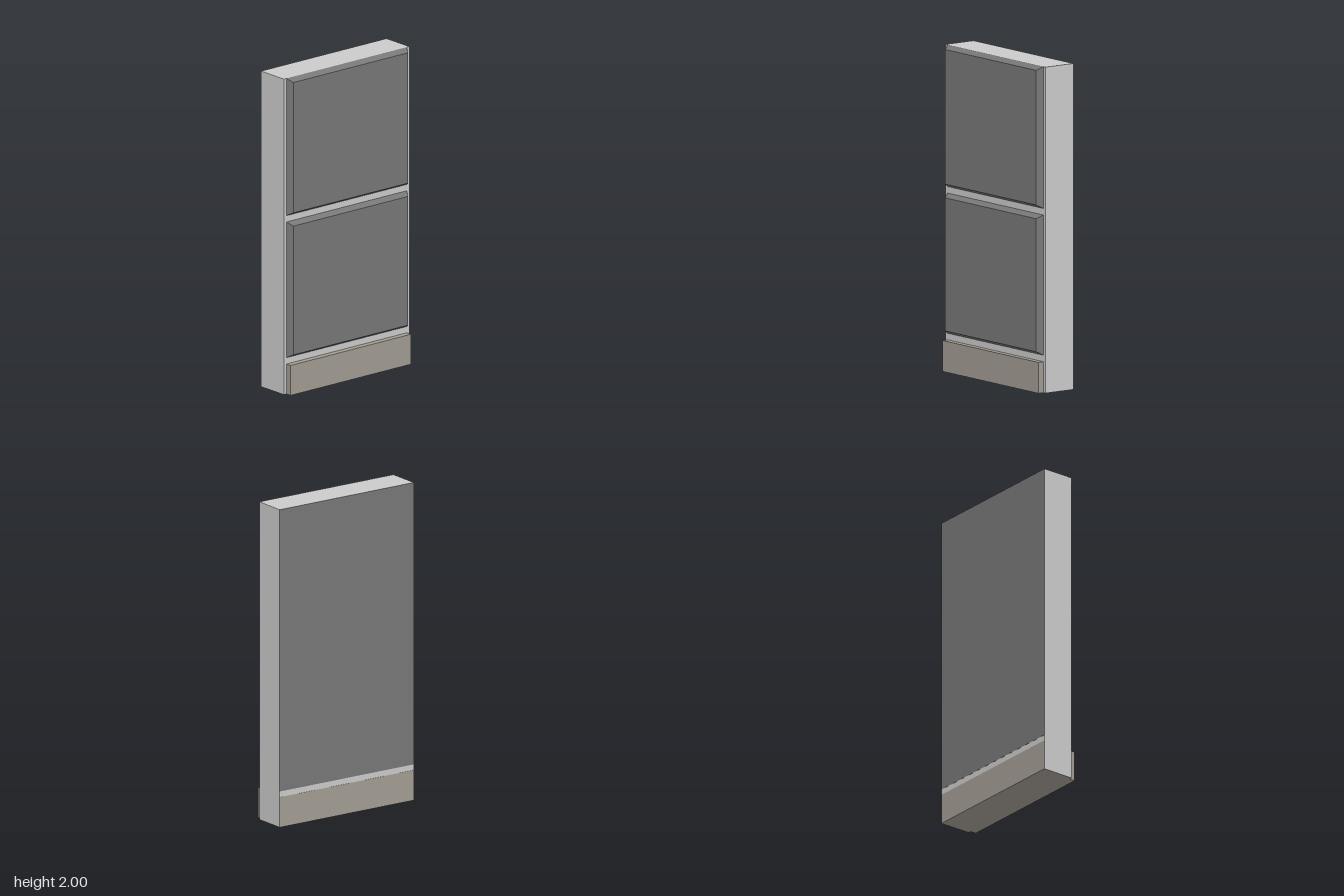
import * as THREE from 'three';

const mat = (name, color) => {
  const m = new THREE.MeshStandardMaterial({ color });
  m.name = name;
  return m;
};

export function createModel() {
  const group = new THREE.Group();
  group.name = 'wallSegment';
  const lightGrey = mat('lightGrey', 0xcacaca);
  const darkGrey = mat('darkGrey', 0x777777);
  const stone = mat('stone', 0xa19c92);

  const add = (name, geometry, material) => {
    const mesh = new THREE.Mesh(geometry, material);
    mesh.name = name;
    group.add(mesh);
    return mesh;
  };
  // Box given by its extents; z is symmetric
  const block = (x0, x1, y0, y1, halfZ) =>
    new THREE.BoxGeometry(x1 - x0, y1 - y0, halfZ * 2)
      .translate((x0 + x1) / 2, (y0 + y1) / 2, 0);

  // Wall core
  add('wallCore', block(-0.124, 0.086, 0.001, 2, 0.5), lightGrey);

  // Raised panels whose outer face is inset to give sloped edges
  const bevelPanel = (name, y0, y1) => {
    const geo = block(0.086, 0.124, y0, y1, 0.48);
    const p = geo.attributes.position;
    const mid = (y0 + y1) / 2;
    for (let i = 0; i < p.count; i++) {
      if (p.getX(i) < 0.1) continue;
      p.setY(i, p.getY(i) - Math.sign(p.getY(i) - mid) * 0.022);
      p.setZ(i, p.getZ(i) - Math.sign(p.getZ(i)) * 0.024);
    }
    geo.computeVertexNormals();
    add(name, geo, darkGrey);
  };
  bevelPanel('lowerPanel', 0.23, 1.09);
  bevelPanel('upperPanel', 1.13, 2);

  // Skirting on the panelled side
  add('skirting', block(0.086, 0.125, 0, 0.19, 0.48), stone);

  // Flat painted plates on the other side and underneath
  add('rearPanel', block(-0.125, -0.124, 0.226, 2, 0.5), darkGrey);
  add('rearSkirting', block(-0.125, -0.124, 0, 0.19, 0.5), stone);
  add('basePlate', block(-0.124, 0.086, 0, 0.001, 0.5), stone);

  return group;
}
